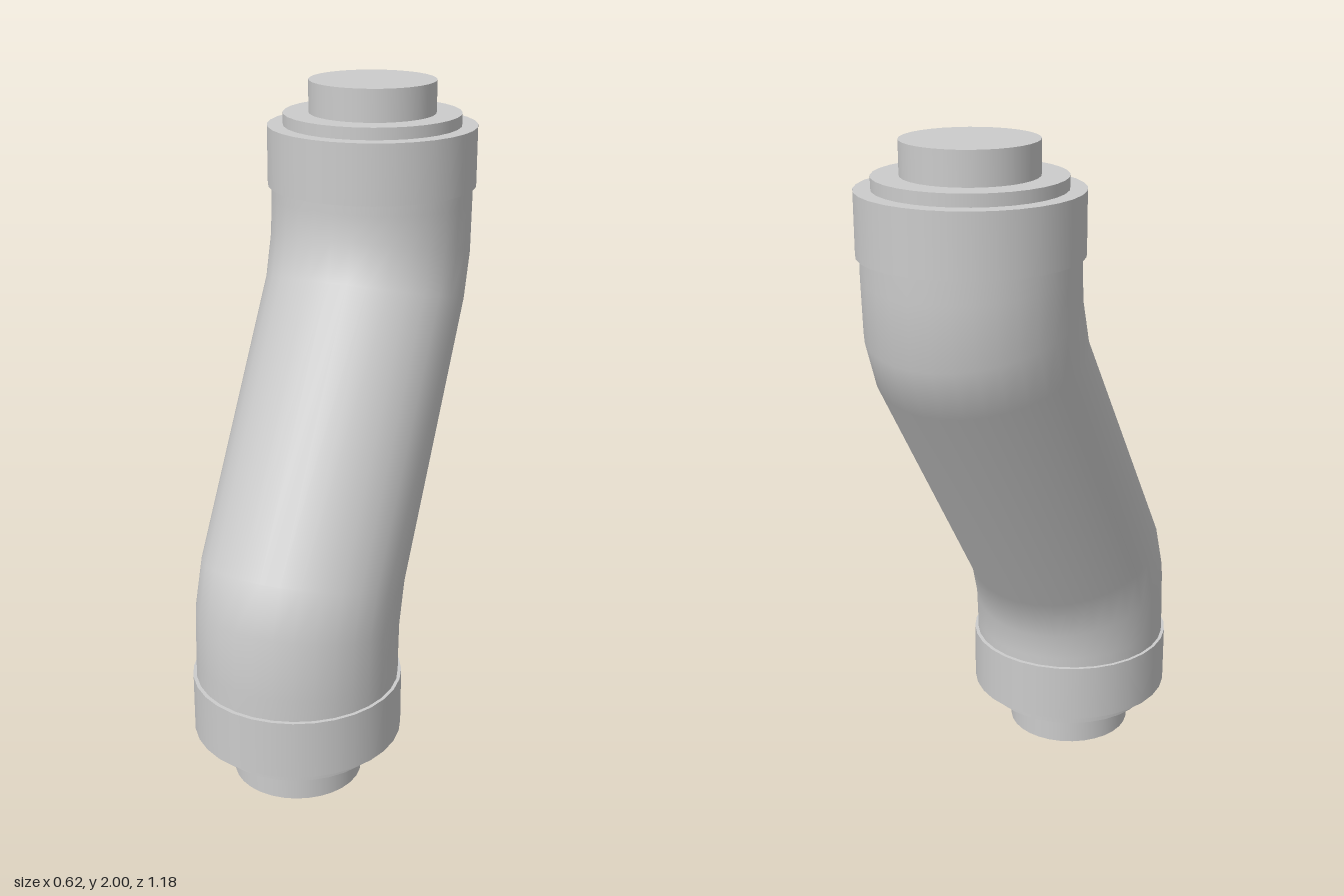
import * as THREE from 'three';

const SIDES = 32;
const material = new THREE.MeshStandardMaterial({ color: 0xcccccc, roughness: 0.7 });

// Offset pipe: elliptical rings, each given by its front and back points [z, y]
function pipeGeometry() {
  const lower = [
    [0.58, 0.25, -0.02, 0.25],
    [0.58, 0.4, -0.02, 0.36],
    [0.573, 0.585, -0.025, 0.435],
    [0.522, 0.727, -0.056, 0.555],
  ];
  // The upper bend is the lower one turned half a turn about the centre
  const upper = lower.map(([fz, fy, bz, by]) => [-bz, 2.025 - by, -fz, 2.025 - fy]).reverse();
  const rings = [...lower, ...upper];
  const positions = [];
  const index = [];
  rings.forEach(([fz, fy, bz, by], i) => {
    for (let j = 0; j < SIDES; j++) {
      const a = (j / SIDES) * Math.PI * 2;
      const s = Math.sin(a) / 2;
      positions.push(0.302 * Math.cos(a), (fy + by) / 2 + (fy - by) * s, (fz + bz) / 2 + (fz - bz) * s);
      if (i === rings.length - 1) continue;
      const k = (j + 1) % SIDES;
      const p = i * SIDES + j, q = i * SIDES + k;
      index.push(p, p + SIDES, q, q, p + SIDES, q + SIDES);
    }
  });
  const geometry = new THREE.BufferGeometry();
  geometry.setAttribute('position', new THREE.Float32BufferAttribute(positions, 3));
  geometry.setIndex(index);
  geometry.computeVertexNormals();
  return geometry;
}

// Stepped end fitting: a stack of discs, each [name, radius, bottom, top]
function endFitting(name, z, discs) {
  const group = new THREE.Group();
  group.name = name;
  for (const [part, radius, y0, y1] of discs) {
    const disc = new THREE.Mesh(new THREE.CylinderGeometry(radius, radius, y1 - y0, SIDES), material);
    disc.name = part;
    disc.position.set(0, (y0 + y1) / 2, z);
    group.add(disc);
  }
  return group;
}

export function createModel() {
  const model = new THREE.Group();
  model.name = 'offsetPipe';

  const pipe = new THREE.Mesh(pipeGeometry(), material);
  pipe.name = 'pipe';
  model.add(pipe);

  model.add(endFitting('bottomFitting', 0.28, [
    ['collar', 0.312, 0.155, 0.333],
    ['step', 0.262, 0.11, 0.155],
    ['stub', 0.193, 0, 0.11],
  ]));
  model.add(endFitting('topFitting', -0.28, [
    ['collar', 0.312, 1.693, 1.87],
    ['step', 0.265, 1.87, 1.905],
    ['stub', 0.189, 1.905, 2],
  ]));
  return model;
}
